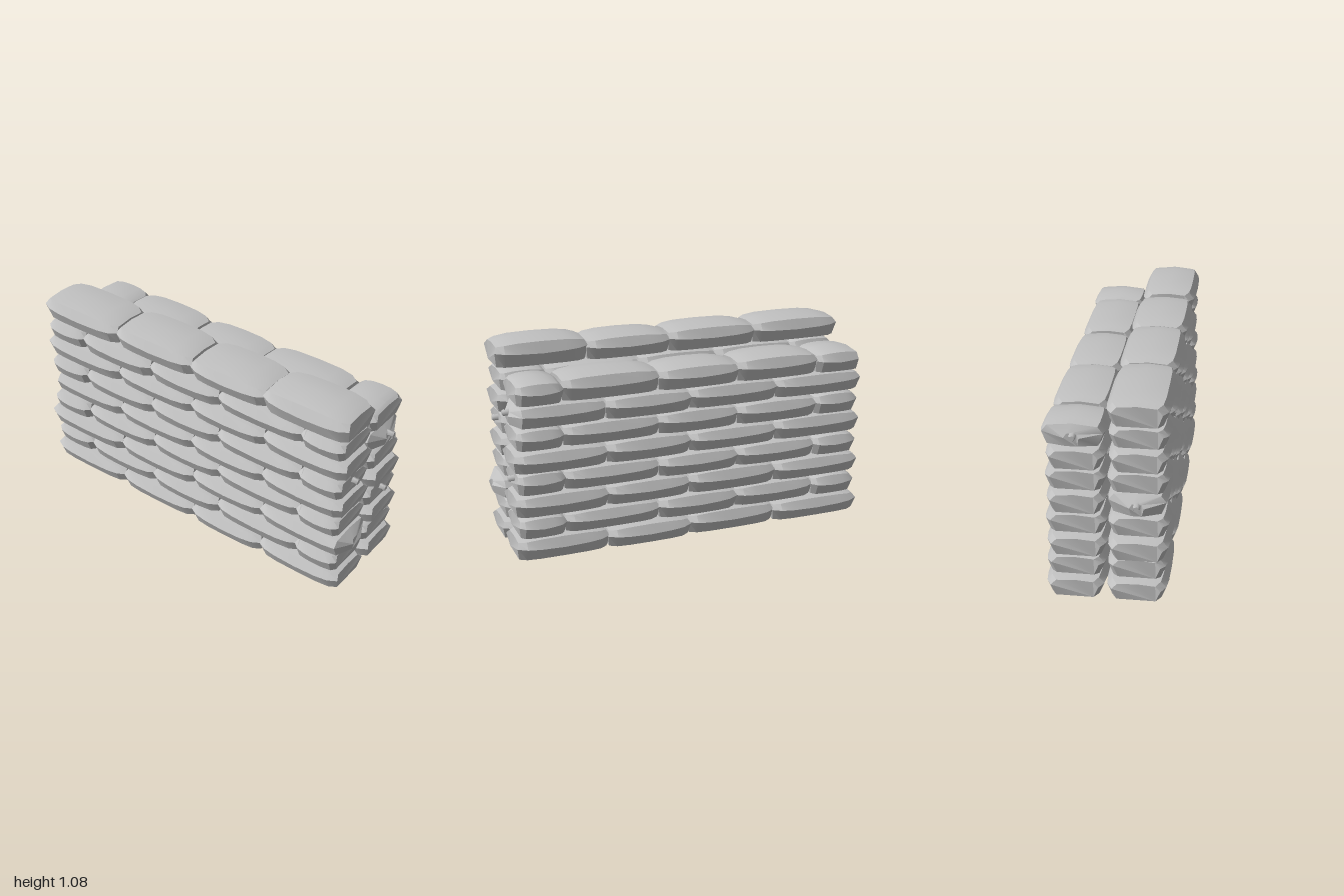
import * as THREE from 'three';
import { toCreasedNormals } from 'three/addons/utils/BufferGeometryUtils.js';

const canvas = new THREE.MeshStandardMaterial({ color: 0xc0c0c0 });
canvas.name = 'grey canvas';

// Small seeded generator for the sag and shift of each bag
let seed = 7;
const jitter = (amount) => {
  seed = (seed * 16807) % 2147483647;
  return (seed / 2147483647 - 0.5) * 2 * amount;
};

// Filled bag: seven-cornered cross-sections lofted from end to end
function bagGeometry(length, height, width, pinchLeft, pinchRight) {
  const k = Math.min(1, length / 0.42);
  const half = length / 2;
  // distance from the end, half width, side height, edge height, crown height
  const profile = [
    [0, 0.78, 0.55, 0.74, 0.80],
    [0.05, 0.94, 0.52, 0.80, 0.90],
    [0.12, 0.99, 0.49, 0.86, 0.98],
  ];
  const middle = [half, 1, 0.46, 0.88, 1.03];
  const stations = [
    ...profile.map(([d, ...r]) => [-half + d * k, ...r]),
    [0, ...middle.slice(1)],
    ...profile.map(([d, ...r]) => [half - d * k, ...r]).reverse(),
  ];
  const pos = [];
  stations.forEach(([x, w, side, edge, crown], i) => {
    const end = i === 0 ? -1 : i === stations.length - 1 ? 1 : 0;
    const pinched = (end < 0 && pinchLeft) || (end > 0 && pinchRight);
    const hw = w * width * (pinched ? 0.3 : 1);
    const wt = hw - (pinched ? 0.012 : 0.026);
    const wb = hw - (pinched ? 0.01 : 0.024);
    const drop = pinched ? 0.72 : 1;
    const inset = end * 0.012;
    const ring = [
      [inset, 0, wb], [0, side * drop, hw], [inset, edge * drop, wt],
      [inset, crown * drop, 0],
      [inset, edge * drop, -wt], [0, side * drop, -hw], [inset, 0, -wb],
    ];
    ring.forEach(([dx, y, z]) => pos.push(x - dx, y * height, z));
  });
  const n = 7;
  const index = [];
  for (let i = 0; i < stations.length - 1; i++) {
    for (let j = 0; j < n; j++) {
      const a = i * n + j, c = i * n + ((j + 1) % n);
      index.push(a, a + n, c, a + n, c + n, c);
    }
  }
  const last = (stations.length - 1) * n;
  for (let j = 1; j < n - 1; j++) {
    index.push(0, j, j + 1, last, last + j + 1, last + j);
  }
  const geo = new THREE.BufferGeometry();
  geo.setAttribute('position', new THREE.Float32BufferAttribute(pos, 3));
  geo.setIndex(index);
  return toCreasedNormals(geo, 0.42);
}

// Tied neck: a short flared stub with a five-sided tip
function addKnot(group, x, y, z, dir) {
  const neck = new THREE.Mesh(new THREE.CylinderGeometry(0.012, 0.02, 0.04, 5), canvas);
  neck.name = 'tiedNeck';
  neck.rotation.z = -dir * Math.PI / 2;
  neck.position.set(x + dir * 0.006, y, z);
  const tip = new THREE.Mesh(new THREE.CylinderGeometry(0.014, 0.019, 0.012, 5), canvas);
  tip.name = 'neckTip';
  tip.rotation.z = -dir * Math.PI / 2;
  tip.position.set(x + dir * 0.02, y, z);
  group.add(neck, tip);
}

// Joint positions of the two alternating bonds
const fullBond = [-0.97, -0.465, 0.03, 0.485, 0.965];
const halfBond = [-0.95, -0.7, -0.24, 0.2, 0.71, 0.95];

// One stacked leaf of the wall
function buildRow(name, z, courses, topHeights, knots, reach) {
  const row = new THREE.Group();
  row.name = name;
  for (let c = 0; c < courses; c++) {
    const joints = (c % 2 ? halfBond : fullBond).slice();
    const y = 0.008 + c * 0.1172;
    if (reach[c]) {
      joints[0] = reach[c][0];
      joints[joints.length - 1] = reach[c][1];
    }
    const count = joints.length - 1;
    for (let b = 0; b < count; b++) {
      const x0 = joints[b], x1 = joints[b + 1];
      const top = c === courses - 1;
      const height = top ? topHeights[b] : 0.118 + jitter(0.004);
      const tiedLeft = b === 0 && knots.left.includes(c);
      const tiedRight = b === count - 1 && knots.right.includes(c);
      const pinchRight = b === count - 1 && knots.pinched.includes(c);
      const bag = new THREE.Mesh(
        bagGeometry(x1 - x0 + 0.012, height, 0.15 + jitter(0.004), tiedLeft, pinchRight), canvas);
      bag.name = 'sandbag';
      bag.position.set((x0 + x1) / 2, y, z + jitter(0.006));
      row.add(bag);
      if (tiedLeft) addKnot(row, x0, y + 0.055, z, -1);
      if (tiedRight) addKnot(row, x1, y + 0.058, z, 1);
    }
  }
  return row;
}

export function createModel() {
  const wall = new THREE.Group();
  wall.name = 'sandbagWall';
  const front = buildRow('frontRow', 0.152, 9, [0.128, 0.127, 0.122, 0.14],
    { left: [4], right: [5], pinched: [2] }, { 2: [-0.985, 0.995], 4: [-0.965, 0.96] });
  const back = buildRow('backRow', -0.145, 8, [0.118, 0.128, 0.122, 0.132, 0.122],
    { left: [7], right: [3, 6], pinched: [6] }, { 7: [-0.965, 0.945] });
  addKnot(front, 0.465, 1.015, 0.14, -1);
  wall.add(front, back);
  return wall;
}
